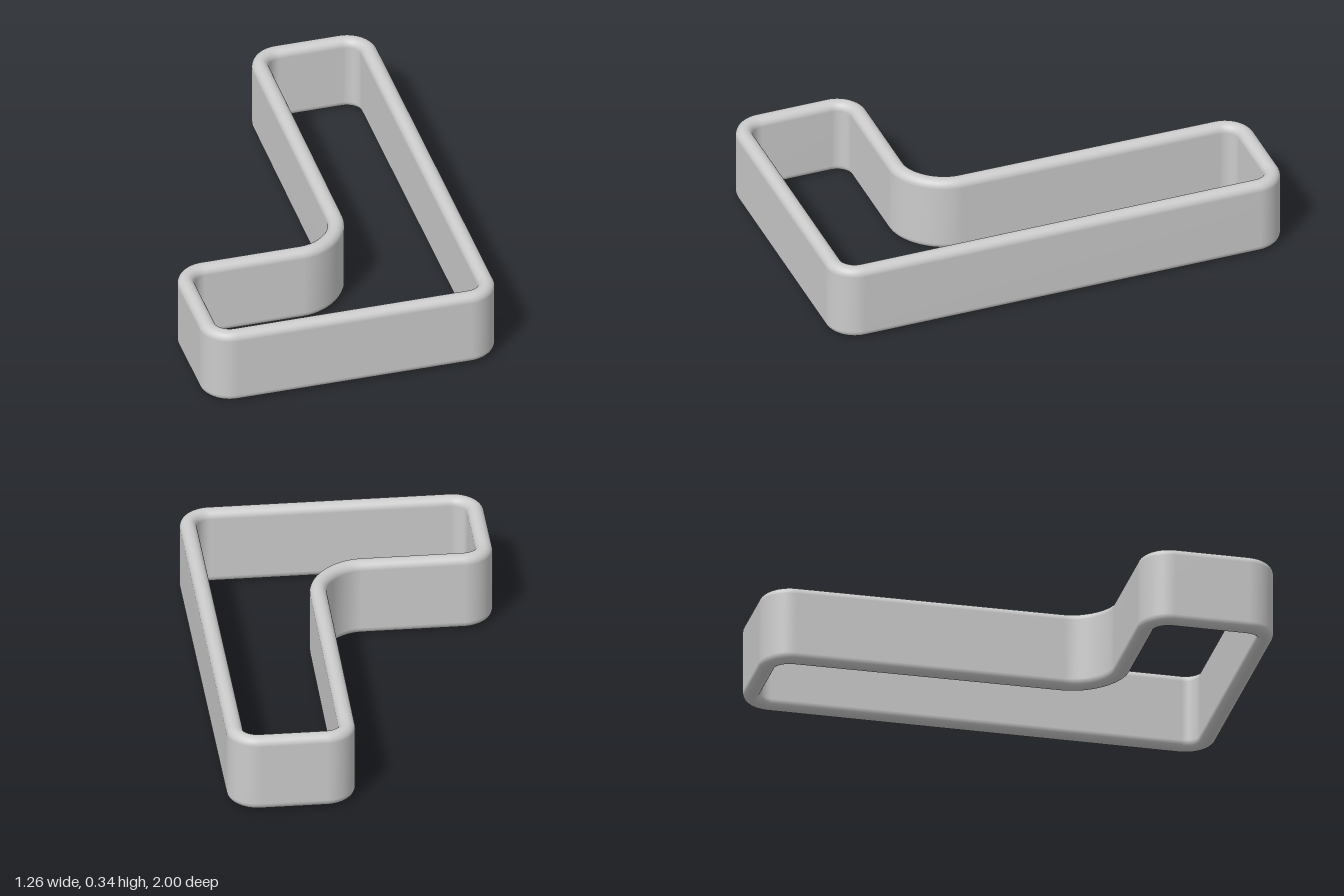
import * as THREE from 'three';

const HEIGHT = 0.336, THICK = 0.07, CORNER = 0.095, RIM = 0.034;

// Centre line of the wall, drawn in (x, z)
function wallPath() {
  const p = new THREE.Path();
  const corner = (x, z, quarter) =>
    p.absarc(x, z, CORNER, quarter * Math.PI / 2, (quarter + 1) * Math.PI / 2, false);
  corner(0.5, 0.87, 0);
  corner(-0.5, 0.87, 1);
  corner(-0.5, 0.56, 2);
  // inner bend of the L
  p.lineTo(-0.075, 0.465);
  p.bezierCurveTo(0.025, 0.465, 0.122, 0.365, 0.124, 0.26);
  p.lineTo(0.132, -0.87);
  corner(0.227, -0.87, 2);
  corner(0.5, -0.87, 3);
  const pts = p.getPoints(12);
  if (pts[0].distanceTo(pts[pts.length - 1]) < 1e-5) pts.pop();
  return pts.filter((q, i) => i === 0 || q.distanceTo(pts[i - 1]) > 1e-5);
}

// Upright wall section with rounded rims, as (outward offset, y)
function wallSection() {
  const s = new THREE.Path(), h = THICK / 2 - RIM;
  const round = (x, y, quarter) =>
    s.absarc(x, y, RIM, quarter * Math.PI / 2, (quarter + 1) * Math.PI / 2, false);
  round(h, HEIGHT - RIM, 0);
  round(-h, HEIGHT - RIM, 1);
  round(-h, RIM, 2);
  round(h, RIM, 3);
  return s.getPoints(6);
}

// Sweep a closed section round a closed path with mitred joints
function sweepLoop(path, section) {
  const n = path.length, m = section.length, pos = [], idx = [];
  for (let i = 0; i < n; i++) {
    const p = path[i];
    const a = p.clone().sub(path[(i + n - 1) % n]).normalize();
    const b = path[(i + 1) % n].clone().sub(p).normalize();
    const t = a.clone().add(b).normalize();
    const miter = 1 / t.dot(a);
    for (let j = 0; j < m; j++) {
      const o = section[j].x * miter;
      pos.push(p.x + t.y * o, section[j].y, p.y - t.x * o);
      const j1 = (j + 1) % m, i1 = (i + 1) % n;
      idx.push(i * m + j, i * m + j1, i1 * m + j, i * m + j1, i1 * m + j1, i1 * m + j);
    }
  }
  const g = new THREE.BufferGeometry();
  g.setAttribute('position', new THREE.Float32BufferAttribute(pos, 3));
  g.setIndex(idx);
  g.computeVertexNormals();
  return g;
}

export function createModel() {
  const group = new THREE.Group();
  group.name = 'lShapedFrame';
  const wall = new THREE.Mesh(
    sweepLoop(wallPath(), wallSection()),
    new THREE.MeshStandardMaterial({ color: 0xcccccc })
  );
  wall.name = 'wall';
  group.add(wall);
  return group;
}
